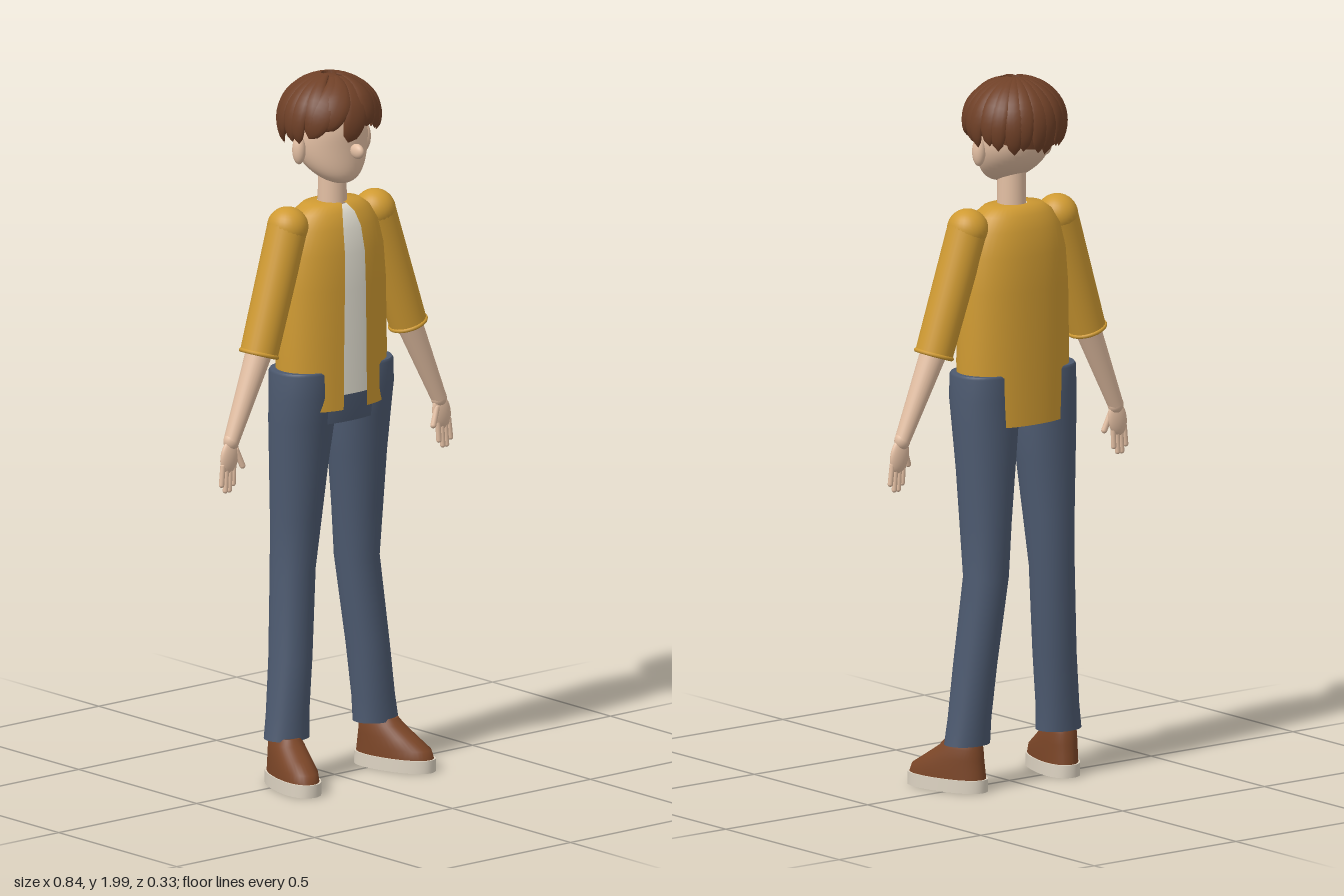
import * as THREE from 'three';

const mat = (name, color) => Object.assign(new THREE.MeshStandardMaterial({ color }), { name });
const V = (x, y, z) => new THREE.Vector3(x, y, z);

// Joins rings of points into one smooth skin; open rings leave a slit, caps close the ends.
function skin(rings, { closed = true, caps = true } = {}) {
  const n = rings[0].length, pos = [], idx = [];
  rings.forEach(r => r.forEach(p => pos.push(p.x, p.y, p.z)));
  for (let j = 0; j < rings.length - 1; j++) {
    for (let i = 0; i < (closed ? n : n - 1); i++) {
      const a = j * n + i, b = j * n + (i + 1) % n;
      idx.push(a, b, b + n, a, b + n, a + n);
    }
  }
  if (caps) {
    [rings[0], rings[rings.length - 1]].forEach((r, end) => {
      const start = pos.length / 3;
      const c = r.reduce((s, p) => s.add(p), V(0, 0, 0)).divideScalar(n);
      [c, ...r].forEach(p => pos.push(p.x, p.y, p.z));
      for (let i = 0; i < n; i++) {
        const a = start + 1 + i, b = start + 1 + (i + 1) % n;
        if (end) idx.push(start, a, b); else idx.push(start, b, a);
      }
    });
  }
  const g = new THREE.BufferGeometry();
  g.setAttribute('position', new THREE.Float32BufferAttribute(pos, 3));
  g.setIndex(idx);
  g.computeVertexNormals();
  return g;
}

// Superellipse ring round y; gap is the half width of a slit at the front.
function ring(y, cx, cz, rx, rz, power = 2, gap = 0, seg = 40) {
  const a0 = gap ? Math.asin(Math.pow(gap / rx, power / 2)) : 0;
  const count = gap ? seg + 1 : seg;
  return Array.from({ length: count }, (_, i) => {
    const a = a0 + (2 * Math.PI - 2 * a0) * i / seg;
    const f = v => Math.sign(v) * Math.pow(Math.abs(v), 2 / power);
    return V(cx + rx * f(Math.sin(a)), y, cz + rz * f(Math.cos(a)));
  });
}

export function createModel() {
  const model = new THREE.Group();
  model.name = 'standingFigure';
  const skinTone = mat('skin', 0xe3bfa3);
  const hairBrown = mat('hairBrown', 0x6f4027);
  const mustard = mat('jacketMustard', 0xcf9a32);
  mustard.side = THREE.DoubleSide;
  const cream = mat('shirtCream', 0xe6e2d4);
  const denim = mat('trouserBlue', 0x4d5a70);
  const leather = mat('shoeBrown', 0x7a4527);
  const rubber = mat('soleCream', 0xddd3c2);

  const add = (name, geo, material, parent = model) => {
    const m = new THREE.Mesh(geo, material);
    m.name = name;
    parent.add(m);
    return m;
  };
  const ball = (name, c, r, material) => {
    const m = add(name, new THREE.SphereGeometry(1, 28, 20), material);
    m.position.set(...c);
    m.scale.set(...r);
    return m;
  };
  // Tapered round bar between two points
  const bar = (name, a, b, ra, rb, material, open = false) => {
    const m = add(name, new THREE.CylinderGeometry(rb, ra, a.distanceTo(b), 28, 1, open), material);
    m.position.copy(a).lerp(b, 0.5);
    m.quaternion.setFromUnitVectors(V(0, 1, 0), b.clone().sub(a).normalize());
    return m;
  };

  // Head: sphere with the jaw pushed forward
  const headGeo = new THREE.SphereGeometry(1, 40, 30);
  const hp = headGeo.attributes.position;
  for (let i = 0; i < hp.count; i++) {
    const y = hp.getY(i), t = Math.max(0, -y);
    hp.setXYZ(i, hp.getX(i) * 0.113, 1.82 + y * 0.13, hp.getZ(i) * 0.092 - 0.02 + 0.055 * t * t);
  }
  headGeo.computeVertexNormals();
  add('head', headGeo, skinTone);
  ball('nose', [0, 1.79, 0.096], [0.014, 0.021, 0.025], skinTone);
  bar('neck', V(0, 1.58, -0.01), V(0, 1.74, -0.01), 0.041, 0.039, skinTone);

  // Hair: a cap over the skull, covered with tapered locks
  const onHair = (az, p, k = 1) => {
    const r = p < Math.PI / 2 ? Math.sin(p) : 1 - 0.7 * (1 - Math.sin(p));
    const h = p < Math.PI / 2 ? Math.cos(p) : Math.PI / 2 - p;
    return V(0.138 * k * r * Math.sin(az), 1.862 + 0.126 * k * h, -0.025 + 0.13 * k * r * Math.cos(az));
  };
  const capRings = [];
  for (let j = 0; j <= 14; j++) {
    capRings.push(Array.from({ length: 48 }, (_, i) => {
      const az = i / 48 * Math.PI * 2;
      return onHair(az, 0.01 + (1.6 - 0.4 * Math.cos(az)) * (1 - j / 14), 0.99);
    }));
  }
  add('hairCap', skin(capRings), hairBrown);

  function lock(name, azStart, azEnd, pStart, pEnd, width, thick) {
    const rings = [], steps = 14;
    const at = t => onHair(azStart + (azEnd - azStart) * t, pStart + (pEnd - pStart) * t);
    for (let j = 0; j <= steps; j++) {
      const t = j / steps, c = at(t);
      const d = at(t + 0.02).sub(at(t - 0.02)).normalize();
      const out = c.clone().sub(V(0, Math.min(c.y, 1.862), -0.025)).normalize();
      const side = d.clone().cross(out).normalize();
      const n = side.clone().cross(d);
      const w = width * Math.min(1, 0.3 + t * 1.3) * Math.sqrt(1.001 - Math.pow(t, 4));
      const h = thick * Math.min(1, 0.5 + t) * Math.sqrt(1.002 - Math.pow(t, 5));
      rings.push(Array.from({ length: 12 }, (_, i) => {
        const a = i / 12 * Math.PI * 2;
        return c.clone().addScaledVector(side, w * Math.sin(a)).addScaledVector(n, h * Math.cos(a));
      }));
    }
    add(name, skin(rings), hairBrown);
  }
  // Side and back locks, longer toward the nape
  for (let i = 0; i < 16; i++) {
    const az = 1.05 + i / 15 * (2 * Math.PI - 2.1);
    const end = 1.93 - 0.16 * Math.cos(az) + (i % 3 - 1) * 0.06;
    lock('hairLock', az, az + (i % 2 ? 0.04 : -0.04), 0.15, end, 0.031, 0.012);
  }
  // Fringe swept from a side parting
  [[-1.1, 1.8], [-0.75, 1.62], [-0.25, 1.9], [0.2, 1.6], [0.55, 1.72], [0.95, 1.85]].forEach(([az, end], i) =>
    lock('fringeLock', az * 0.7 + 0.4, az, 0.3, end, 0.042, 0.013 + (i % 2) * 0.002));

  // Shirt, open jacket and trouser seat
  const body = [[1.06, 0.172, 0.105, 0.042], [1.2, 0.176, 0.105, 0.041], [1.4, 0.172, 0.105, 0.038],
    [1.5, 0.163, 0.103, 0.036], [1.57, 0.146, 0.091, 0.032], [1.61, 0.12, 0.075, 0.022],
    [1.632, 0.09, 0.056, 0.008], [1.634, 0.04, 0.036, 0.004]];
  add('jacket', skin(body.map(([y, rx, rz, gap], i) =>
    ring(y, 0, -0.015, rx, rz, 2.2, gap).map(p => {
      if (i === 0) p.y -= 0.035 * THREE.MathUtils.smoothstep(-p.z, -0.02, 0.1);
      return p;
    })), { closed: false, caps: false }), mustard);
  add('shirt', skin(body.map(([y, rx, rz], i) =>
    ring(i ? y - 0.005 : 1.1, 0, -0.015, rx - 0.008, rz - 0.008, 2.2))), cream);
  add('trouserSeat', skin([[1.02, 0.155, 0.085], [1.06, 0.16, 0.09], [1.11, 0.16, 0.093]]
    .map(([y, rx, rz]) => ring(y, 0, -0.015, rx, rz, 2.3))), denim);

  for (const s of [1, -1]) {
    ball('ear', [s * 0.118, 1.793, -0.013], [0.018, 0.041, 0.02], skinTone);

    // Trouser leg: height, centre x, centre z, half width, half depth
    add('trouserLeg', skin([
      [0.13, 0.161, -0.015, 0.067, 0.055], [0.2, 0.155, -0.018, 0.062, 0.055],
      [0.35, 0.14, -0.024, 0.06, 0.06], [0.6, 0.116, -0.042, 0.062, 0.063],
      [0.75, 0.111, -0.034, 0.071, 0.071], [0.9, 0.106, -0.028, 0.083, 0.078],
      [1.02, 0.102, -0.021, 0.094, 0.085], [1.1, 0.106, -0.015, 0.092, 0.09],
      [1.165, 0.108, -0.015, 0.088, 0.09], [1.172, 0.108, -0.015, 0.084, 0.086],
    ].map(([y, x, z, rx, rz]) => ring(y, s * x, z, rx, rz, 2.1))), denim);

    // Shoe, turned outward
    const shoe = new THREE.Group();
    shoe.name = 'shoe';
    shoe.position.set(s * 0.185, 0, 0.04);
    shoe.rotation.y = s * 0.28;
    model.add(shoe);
    add('sole', skin([0, 0.036].map(y => ring(y, 0, 0, 0.058, 0.127, 2.3))), rubber, shoe);
    add('shoeUpper', skin([[0.036, 0, 0.054, 0.122], [0.06, -0.003, 0.053, 0.116],
      [0.09, -0.024, 0.049, 0.091], [0.12, -0.045, 0.044, 0.067], [0.138, -0.05, 0.036, 0.055]]
      .map(([y, z, rx, rz]) => ring(y, 0, z, rx, rz, 2.2))), leather, shoe);

    // Sleeve with rounded shoulder and rolled cuff
    const shoulder = V(s * 0.158, 1.58, -0.014), cuff = V(s * 0.27, 1.24, -0.005);
    ball('shoulder', shoulder.toArray(), [0.057, 0.057, 0.059], mustard);
    bar('sleeve', shoulder, cuff, 0.057, 0.053, mustard, true);
    const hem = add('sleeveCuff', new THREE.TorusGeometry(0.051, 0.006, 10, 32), mustard);
    hem.position.copy(cuff);
    hem.quaternion.setFromUnitVectors(V(0, 0, 1), cuff.clone().sub(shoulder).normalize());

    // Forearm and hand
    const wrist = V(s * 0.376, 1.01, 0.002);
    bar('forearm', V(s * 0.25, 1.29, -0.005), wrist, 0.04, 0.022, skinTone);
    ball('wrist', wrist.toArray(), [0.023, 0.026, 0.021], skinTone);
    const palm = ball('palm', [s * 0.384, 0.968, 0.004], [0.031, 0.05, 0.014], skinTone);
    palm.rotation.z = s * 0.2;
    const finger = (name, a, b, r) => {
      const m = add(name, new THREE.CapsuleGeometry(r, a.distanceTo(b), 6, 12), skinTone);
      m.position.copy(a).lerp(b, 0.5);
      m.quaternion.setFromUnitVectors(V(0, 1, 0), b.clone().sub(a).normalize());
    };
    [0.89, 0.874, 0.874, 0.892].forEach((tip, i) => finger('finger',
      V(s * (0.37 + i * 0.013), 0.945, 0.005), V(s * (0.373 + i * 0.014), tip, 0.006), 0.0075));
    finger('thumb', V(s * 0.364, 0.985, 0.008), V(s * 0.346, 0.938, 0.014), 0.0085);
  }
  return model;
}
